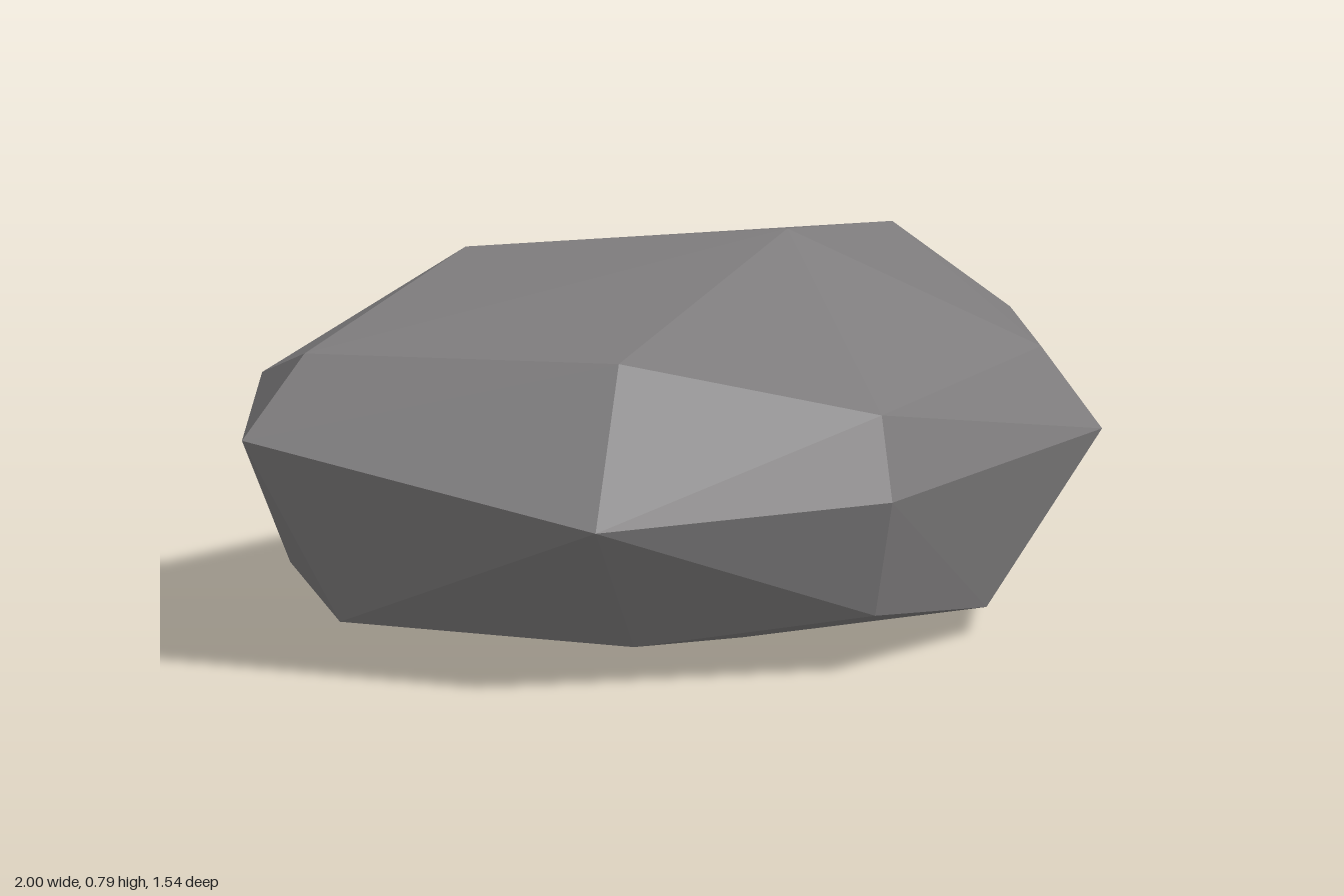
import * as THREE from 'three';
import { ConvexGeometry } from 'three/addons/geometries/ConvexGeometry.js';

export function createModel() {
  const group = new THREE.Group();
  group.name = 'rock';

  const stone = new THREE.MeshStandardMaterial({ color: 0x7e7c7d });
  stone.name = 'stone grey';

  // Corner rings of the boulder, each running round from the -x tip
  const crown = [[0.36, 0.79, -0.07]];
  const shoulder = [
    [-0.84, 0.68, 0.16], [-0.29, 0.69, 0.55], [0.25, 0.56, 0.69], [0.81, 0.56, 0.23],
    [0.945, 0.53, -0.25], [0.86, 0.63, -0.68], [0.16, 0.625, -0.65], [-0.25, 0.745, -0.36],
  ];
  const girdle = [
    [-1, 0.515, 0.2], [-0.42, 0.375, 0.73], [0.24, 0.39, 0.77], [0.915, 0.39, 0.31],
    [1, 0.37, -0.11], [0.945, 0.355, -0.77], [0.07, 0.425, -0.77], [-0.68, 0.497, -0.44],
  ];
  const foot = [
    [-0.785, 0.11, 0.22], [-0.26, 0.08, 0.56], [0.235, 0.13, 0.69], [0.6, 0.06, 0.43],
    [0.81, 0.08, 0.04], [0.63, 0.1, -0.31], [-0.11, 0.13, -0.62], [-0.68, 0.12, -0.29],
  ];
  const base = [[0.12, 0, 0.25]];

  // Flat facets stretched over all corners
  const points = [crown, shoulder, girdle, foot, base].flat().map((p) => new THREE.Vector3(...p));
  const boulder = new THREE.Mesh(new ConvexGeometry(points), stone);
  boulder.name = 'boulder';
  group.add(boulder);

  return group;
}
